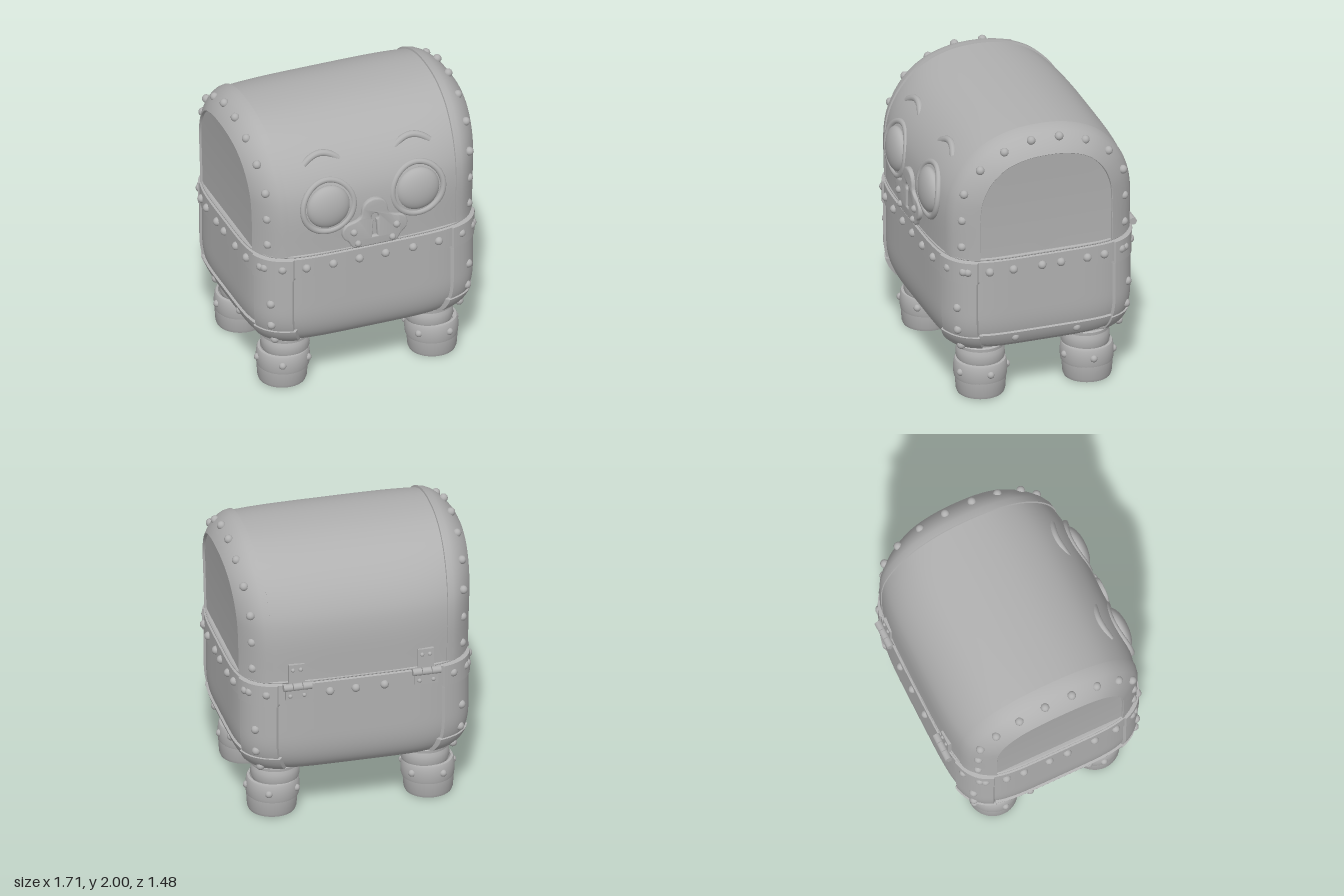
import * as THREE from 'three';
import { toCreasedNormals } from 'three/addons/utils/BufferGeometryUtils.js';

export function createModel() {
  const root = new THREE.Group();
  root.name = 'chest';
  const grey = new THREE.MeshStandardMaterial({ color: 0xb0b0b0, side: THREE.DoubleSide });
  grey.name = 'plain grey';

  const add = (name, geo, x = 0, y = 0, z = 0, parent = root) => {
    const m = new THREE.Mesh(geo, grey);
    m.name = name;
    m.position.set(x, y, z);
    parent.add(m);
    return m;
  };
  // Surface patch from a rule f(i, j) -> [x, y, z]
  const grid = (nu, nv, f) => {
    const pos = [], idx = [];
    for (let i = 0; i <= nu; i++) for (let j = 0; j <= nv; j++) pos.push(...f(i, j));
    for (let i = 0; i < nu; i++) for (let j = 0; j < nv; j++) {
      const a = i * (nv + 1) + j, b = a + nv + 1;
      idx.push(a, b, a + 1, b, b + 1, a + 1);
    }
    const g = new THREE.BufferGeometry();
    g.setAttribute('position', new THREE.Float32BufferAttribute(pos, 3));
    g.setIndex(idx);
    return toCreasedNormals(g, 0.7);
  };
  const rivetGeo = new THREE.SphereGeometry(0.03, 14, 10);
  const rivet = (x, y, z, s = 1, parent = root) => add('rivet', rivetGeo, x, y, z, parent).scale.setScalar(s);

  // Lower box: rounded rectangle whose half sizes shrink toward the bottom
  const N = 5, rad = Math.PI / 180;
  const half = (y) => {
    const u = Math.min(1, Math.max(0, (0.7 - y) / 0.33));
    const g = 1 - Math.pow(1 - Math.pow(u, 2.5), 0.4);
    return [0.812 - 0.21 * g, 0.687 - 0.2 * g];
  };
  const onBox = (deg, y, off = 0) => {
    const c = Math.cos(deg * rad), s = Math.sin(deg * rad), [a, b] = half(y);
    const r = Math.pow(Math.abs(c) ** N + Math.abs(s) ** N, -1 / N);
    return [(a + off) * r * c, y, (b + off) * r * s];
  };
  add('lowerBox', grid(24, 120, (i, j) => onBox(j * 3, 0.37 + 0.73 * (i / 24) ** 2)));
  const cap = (y) => grid(1, 120, (i, j) => (i ? onBox(j * 3, y) : [0, y, 0]));
  add('boxBottom', cap(0.37));
  add('boxTop', cap(1.1));

  // Raised strap over part of the box, with bevelled edges on all sides
  const strap = (name, d0, d1, y0, y1, off, nu = 16, nv = 16) => {
    const closed = d1 - d0 >= 360;
    const span = (k, n, lo, hi, e) => {
      if (k === 0) return lo;
      if (k === n) return hi;
      return lo + e + (hi - lo - 2 * e) * (k - 1) / (n - 2);
    };
    add(name, grid(nu, nv, (i, j) => {
      const edge = i === 0 || i === nu || (!closed && (j === 0 || j === nv));
      const deg = closed ? d0 + (d1 - d0) * j / nv : span(j, nv, d0, d1, 0.4);
      return onBox(deg, span(i, nu, y0, y1, 0.008), edge ? -0.004 : off);
    }));
  };
  strap('rimStrap', 0, 360, 0.94, 1.1, 0.014, 6, 120);
  strap('rimLip', 0, 360, 1.095, 1.118, 0.004, 4, 120);
  for (const mid of [45, 135, 225, 315]) {
    strap('cornerStrap', mid - 9, mid + 9, 0.385, 0.95, 0.016, 24);
    strap('cornerBracket', mid - 9.5, mid + 9.5, 0.925, 1.098, 0.024);
    strap('cornerShoe', mid - 10, mid + 10, 0.4, 0.525, 0.027);
    for (const y of [0.43, 0.57, 0.74]) rivet(...onBox(mid, y, y < 0.5 ? 0.022 : 0.012));
  }
  for (const mid of [0, 180]) {
    strap('endBottomStrap', mid - 36, mid + 36, 0.435, 0.54, 0.017, 8, 30);
    for (const z of [0.22, -0.22]) rivet(mid ? -0.785 : 0.785, 0.49, z);
  }

  // Rivets along the rim strap
  const frontZ = (x) => 0.7 * Math.pow(1 - Math.min(1, Math.abs(x) / 0.826) ** N, 1 / N);
  const sideX = (z) => 0.826 * Math.pow(1 - Math.min(1, Math.abs(z) / 0.7) ** N, 1 / N);
  for (const x of [-0.75, -0.65, -0.49, -0.3, -0.11, 0.08, 0.28, 0.47, 0.65, 0.75]) rivet(x, 1.02, frontZ(x));
  for (const x of [-0.75, -0.65, -0.16, 0.04, 0.22, 0.65, 0.75]) rivet(x, 1.02, -frontZ(x));
  for (const s of [1, -1])
    for (const z of [0.55, 0.41, 0.245, 0.04, -0.095, -0.285, -0.41, -0.545]) rivet(s * sideX(z), 1.02, z);

  // Lid: outer and inner arches share the same parameter
  const arch = (half) => new THREE.CatmullRomCurve3(
    [...half, ...half.slice(0, -1).reverse().map(([z, y]) => [-z, y])].map(([z, y]) => new THREE.Vector3(0, y, z)));
  const outer = arch([[0.687, 1.11], [0.687, 1.45], [0.655, 1.6], [0.57, 1.75], [0.43, 1.88], [0.23, 1.963], [0, 1.988]]);
  const inner = arch([[0.47, 1.11], [0.47, 1.45], [0.455, 1.56], [0.4, 1.68], [0.3, 1.78], [0.16, 1.835], [0, 1.85]]);
  const flare = (y) => 0.045 * ((y - 1.1) / 0.9) ** 2;
  const taper = (x) => 1 - 0.055 * (x / 0.62) ** 4;
  add('lid', grid(72, 24, (i, j) => {
    const p = outer.getPoint(i / 72), x = (j / 12 - 1) * (0.635 + flare(p.y));
    return [x, p.y, p.z * taper(x)];
  }));
  const onBand = (t, x, k) => {
    const o = outer.getPoint(t), n = inner.getPoint(t), oz = o.z * 0.945;
    return [x + flare(o.y), o.y + 0.005 + (n.y - o.y - 0.005) * k, oz + (n.z - oz) * k];
  };
  const section = [[0.602, 0.06], [0.606, -0.05], [0.65, 0], [0.69, 0.13], [0.73, 0.35],
    [0.765, 0.61], [0.79, 0.86], [0.8, 0.98], [0.798, 1], [0.78, 1.02]];
  for (const s of [1, -1]) {
    add('lidEndBand', grid(72, section.length - 1, (i, j) => {
      const [x, y, z] = onBand(i / 72, ...section[j]);
      return [s * x, y, z];
    }));
    add('lidEndPanel', grid(72, 6, (i, j) => {
      const p = inner.getPoint(i / 72), k = 1.03 - 1.03 * j / 6, y = 1.11 + (p.y - 1.11) * k;
      return [s * (0.785 + flare(y)), y, p.z * k];
    }));
    for (const f of [1, -1]) {
      for (const y of [1.2, 1.4, 1.6]) rivet(s * (0.728 + flare(y)), y, f * (y > 1.5 ? 0.57 : 0.58));
      for (const [z, y] of [[0.46, 1.77], [0.29, 1.885], [0.1, 1.945]]) rivet(s * (0.735 + flare(y)), y, f * z);
    }
  }

  // Face: eyes with sockets and brows
  const lidZ = (y) => {
    let lo = 0, hi = 0.5;
    for (let i = 0; i < 24; i++) {
      const m = (lo + hi) / 2;
      if (outer.getPoint(m).y < y) lo = m; else hi = m;
    }
    return outer.getPoint(lo).z;
  };
  for (const s of [1, -1]) {
    const eye = add('eye', new THREE.SphereGeometry(0.156, 36, 24), s * 0.325, 1.46, 0.67);
    eye.scale.z = 0.42;
    eye.rotation.x = -0.06;
    const ring = [], brow = [];
    for (let i = 0; i < 32; i++) {
      const a = i / 32 * Math.PI * 2, y = 1.46 + 0.185 * Math.sin(a);
      ring.push(new THREE.Vector3(s * 0.325 + 0.185 * Math.cos(a), y, lidZ(y) * 0.995 - 0.006));
    }
    add('eyeSocket', new THREE.TubeGeometry(new THREE.CatmullRomCurve3(ring, true), 64, 0.021, 10, true));
    for (let i = 0; i <= 8; i++) {
      const u = i / 4 - 1, y = 1.8 - 0.055 * u * u;
      brow.push(new THREE.Vector3(s * 0.33 + 0.13 * u, y, lidZ(y) - 0.004 - 0.024 * u * u));
    }
    add('brow', new THREE.TubeGeometry(new THREE.CatmullRomCurve3(brow), 32, 0.024, 10));
  }

  // Lock plate with keyhole
  const plate = new THREE.Shape();
  plate.moveTo(-0.13, 1.12);
  plate.lineTo(0.13, 1.12);
  plate.bezierCurveTo(0.17, 1.12, 0.165, 1.16, 0.19, 1.18);
  plate.bezierCurveTo(0.245, 1.21, 0.235, 1.29, 0.18, 1.3);
  plate.bezierCurveTo(0.12, 1.31, 0.085, 1.33, 0.085, 1.38);
  plate.bezierCurveTo(0.08, 1.49, -0.08, 1.49, -0.085, 1.38);
  plate.bezierCurveTo(-0.085, 1.33, -0.12, 1.31, -0.18, 1.3);
  plate.bezierCurveTo(-0.235, 1.29, -0.245, 1.21, -0.19, 1.18);
  plate.bezierCurveTo(-0.165, 1.16, -0.17, 1.12, -0.13, 1.12);
  const hole = new THREE.Path();
  hole.absarc(0, 1.33, 0.036, -0.3 * Math.PI, 1.3 * Math.PI, false);
  hole.lineTo(-0.03, 1.17);
  hole.lineTo(0.03, 1.17);
  plate.holes.push(hole);
  add('lockPlate', toCreasedNormals(new THREE.ExtrudeGeometry(plate,
    { depth: 0.03, bevelSize: 0.01, bevelThickness: 0.01, bevelSegments: 3, curveSegments: 12 }), 0.6), 0, 0, 0.675);
  for (const s of [1, -1]) {
    rivet(s * 0.155, 1.24, 0.715, 0.85);
    rivet(s * 0.125, 1.147, 0.715, 0.8);
  }

  // Back hinges
  for (const s of [1, -1]) {
    const hinge = new THREE.Group();
    hinge.name = 'hinge';
    hinge.position.set(s * 0.45, 0, -0.69);
    root.add(hinge);
    for (const dx of [-0.067, 0, 0.067])
      add('knuckle', new THREE.CylinderGeometry(0.026, 0.026, 0.062, 16), dx, 1.09, -0.023, hinge).rotation.z = Math.PI / 2;
    add('upperLeaf', new THREE.BoxGeometry(0.11, 0.15, 0.03), 0, 1.175, 0.008, hinge);
    add('lowerLeaf', new THREE.BoxGeometry(0.16, 0.09, 0.025), 0, 1.035, -0.008, hinge);
    for (const dx of [-0.027, 0.027]) {
      rivet(dx, 1.21, -0.006, 0.5, hinge);
      rivet(dx * 1.8, 1.02, -0.02, 0.5, hinge);
    }
  }

  // Legs: turned foot, riveted cuff and collar
  const lathe = (pts) => toCreasedNormals(new THREE.LatheGeometry(pts.map(([r, y]) => new THREE.Vector2(r, y)), 36), 0.6);
  const foot = lathe([[0, 0], [0.14, 0], [0.16, 0.008], [0.168, 0.03], [0.174, 0.118], [0.174, 0.125]]);
  const cuff = lathe([[0.165, 0.118], [0.178, 0.122], [0.182, 0.14], [0.184, 0.19], [0.178, 0.24], [0.172, 0.252], [0.155, 0.255]]);
  const collar = lathe([[0.158, 0.24], [0.168, 0.27], [0.165, 0.32], [0.155, 0.345], [0.166, 0.35], [0.168, 0.372], [0.155, 0.38], [0.15, 0.46]]);
  for (const s of [1, -1]) for (const f of [1, -1]) {
    const leg = new THREE.Group();
    leg.name = f > 0 ? 'frontLeg' : 'backLeg';
    leg.position.set(s * 0.54, 0, f * 0.382);
    root.add(leg);
    add('foot', foot, s * 0.005, 0, 0, leg);
    add('cuff', cuff, 0, 0, 0, leg);
    add('collar', collar, -s * 0.018, 0, -f * 0.006, leg);
    for (let i = 0; i < 5; i++) {
      const a = (-58 + i * 72) * rad;
      rivet(s * 0.178 * Math.sin(a + 80 * rad), 0.19, f * 0.178 * Math.cos(a + 80 * rad), 0.85, leg);
    }
  }
  return root;
}
